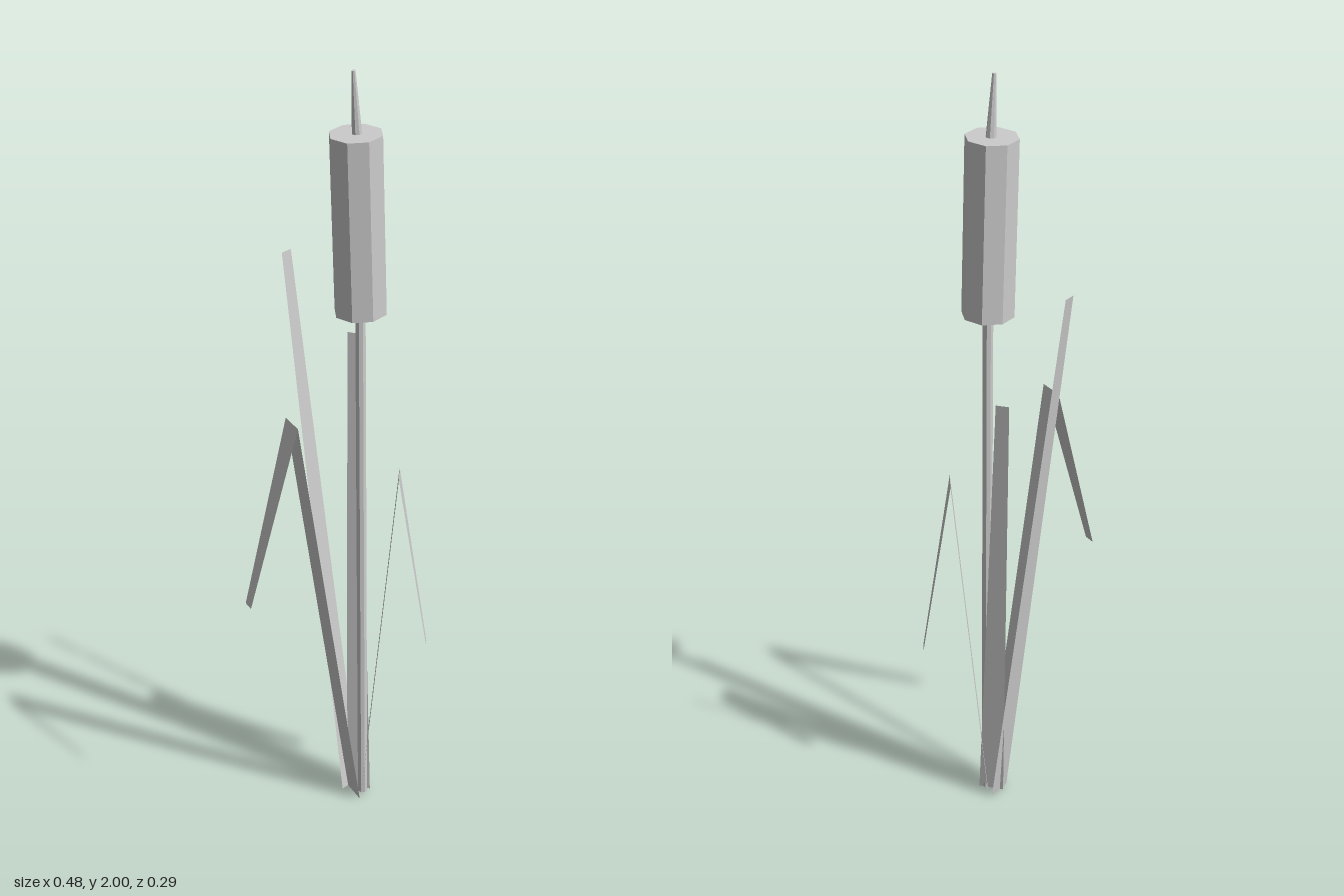
import * as THREE from 'three';

const solid = new THREE.MeshStandardMaterial({ color: 0xcccccc, flatShading: true });
const thin = new THREE.MeshStandardMaterial({ color: 0xcccccc, flatShading: true, side: THREE.DoubleSide });

// Eight-sided rod between two points
function rod(name, from, to, rBottom, rTop) {
  const a = new THREE.Vector3(...from), b = new THREE.Vector3(...to);
  const dir = b.clone().sub(a);
  const mesh = new THREE.Mesh(new THREE.CylinderGeometry(rTop, rBottom, dir.length(), 8), solid);
  mesh.position.copy(a).add(b).multiplyScalar(0.5);
  mesh.quaternion.setFromUnitVectors(new THREE.Vector3(0, 1, 0), dir.normalize());
  mesh.name = name;
  return mesh;
}

// Flat blade: each station is [x, y, z, width]; the width runs along the given angle in plan
function blade(name, angle, stations) {
  const ux = Math.cos(angle), uz = Math.sin(angle);
  const points = [], index = [];
  stations.forEach(([x, y, z, w], i) => {
    const h = w / 2;
    points.push(x - ux * h, y, z - uz * h, x + ux * h, y, z + uz * h);
    if (i > 0) {
      const k = 2 * i;
      index.push(k - 2, k - 1, k + 1, k - 2, k + 1, k);
    }
  });
  const geometry = new THREE.BufferGeometry();
  geometry.setAttribute('position', new THREE.Float32BufferAttribute(points, 3));
  geometry.setIndex(index);
  geometry.computeVertexNormals();
  const mesh = new THREE.Mesh(geometry, thin);
  mesh.name = name;
  return mesh;
}

export function createModel() {
  const group = new THREE.Group();
  group.name = 'reedPlant';

  // Stalk, seed head and top spike
  group.add(
    rod('stem', [0.086, 0, 0.063], [0.067, 1.41, 0.063], 0.013, 0.013),
    rod('seedHead', [0.0675, 1.401, 0.063], [0.0515, 1.849, 0.063], 0.065, 0.065),
    rod('spike', [0.055, 1.84, 0.063], [0.044, 2, 0.063], 0.013, 0.005),
  );

  // Straight leaves leaning backwards
  group.add(
    blade('tallBackLeaf', -0.375, [[0.07, 0, 0.025, 0.066], [-0.03, 1.5, -0.139, 0.032]]),
    blade('shortBackLeaf', 0.85, [[0.083, 0, 0.044, 0.066], [0.143, 1.255, -0.1175, 0.033]]),
  );

  // Leaves folded over, with drooping tips
  group.add(
    blade('rightFoldedLeaf', Math.PI / 2,
      [[0.06, 0, 0.063, 0.067], [-0.116, 1.145, 0.063, 0.067], [-0.239, 0.665, 0.063, 0.031]]),
    blade('leftFoldedLeaf', Math.PI * 2 / 3,
      [[0.09, 0, 0.05, 0.066], [0.164, 0.955, 0.0925, 0.066], [0.231, 0.46, 0.131, 0.027]]),
  );

  return group;
}
